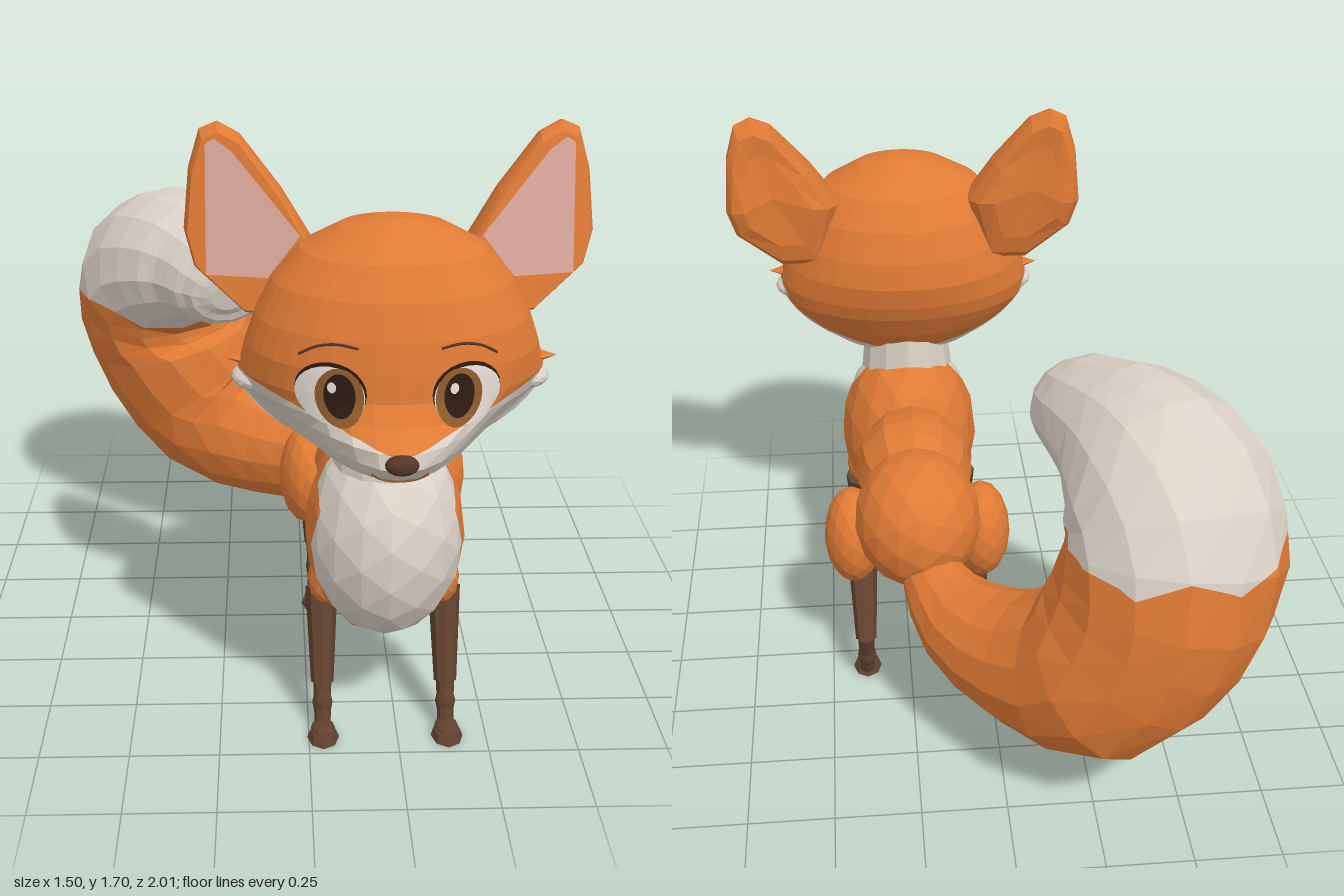
import * as THREE from 'three';

const V = (x, y, z) => new THREE.Vector3(x, y, z);
const paint = (name, color, side = THREE.FrontSide) => {
  const m = new THREE.MeshStandardMaterial({ color, side });
  m.name = name;
  return m;
};
const fur = paint('orange fur', 0xe07b36);
const cream = paint('cream fur', 0xdbd2c8);
const sock = paint('brown legs', 0x61412f);
const pink = paint('ear pink', 0xdca89c, THREE.DoubleSide);
const amber = paint('iris amber', 0x8f5c2a, THREE.DoubleSide);
const dark = paint('dark brown', 0x2c1b12, THREE.DoubleSide);
const nosePaint = paint('nose brown', 0x553629);
const eyeWhite = paint('eye white', 0xe6e0d8, THREE.DoubleSide);

// Faceted normals
function flat(geo) {
  const g = geo.index ? geo.toNonIndexed() : geo;
  g.computeVertexNormals();
  return g;
}

function fromTriangles(points) {
  const g = new THREE.BufferGeometry().setFromPoints(points);
  g.computeVertexNormals();
  return g;
}

function add(parent, name, geo, material, pos) {
  const mesh = new THREE.Mesh(geo, material);
  mesh.name = name;
  if (pos) mesh.position.set(...pos);
  parent.add(mesh);
  return mesh;
}

// Skin over rings that run counter-clockwise around the direction of travel, with closed ends
function loft(rings) {
  const out = [], n = rings[0].length;
  const centre = (r) => r.reduce((s, p) => s.add(p), V(0, 0, 0)).divideScalar(n);
  const first = rings[0], last = rings[rings.length - 1];
  const c0 = centre(first), c1 = centre(last);
  for (let j = 0; j < n; j++) {
    const k = (j + 1) % n;
    out.push(c0, first[k], first[j], c1, last[j], last[k]);
    for (let i = 0; i + 1 < rings.length; i++) {
      const a = rings[i], b = rings[i + 1];
      out.push(a[j], a[k], b[k], a[j], b[k], b[j]);
    }
  }
  return fromTriangles(out);
}

// Cut a surface in two along rule(p) = 0 and colour each side
function addSplit(parent, name, geo, rule, inside, outside) {
  const p = (geo.index ? geo.toNonIndexed() : geo).attributes.position;
  [[1, inside, 'Markings'], [-1, outside, '']].forEach(([sign, material, suffix]) => {
    const out = [];
    for (let i = 0; i < p.count; i += 3) {
      const tri = [0, 1, 2].map((k) => V(0, 0, 0).fromBufferAttribute(p, i + k));
      const val = tri.map((q) => sign * rule(q));
      const poly = [];
      tri.forEach((q, k) => {
        const m = (k + 1) % 3;
        if (val[k] >= 0) poly.push(q);
        if ((val[k] >= 0) !== (val[m] >= 0)) poly.push(q.clone().lerp(tri[m], val[k] / (val[k] - val[m])));
      });
      for (let k = 1; k + 1 < poly.length; k++) out.push(poly[0], poly[k], poly[k + 1]);
    }
    add(parent, name + suffix, fromTriangles(out), material);
  });
}

const blob = (rx, ry, rz, detail = 2) => flat(new THREE.IcosahedronGeometry(1, detail).scale(rx, ry, rz));
const wave = (t) => Math.abs(((t % 1) + 1) % 1 - 0.5) * 2;

// Tapered rod between two points
function rod(parent, name, a, b, ra, rb, material) {
  const d = b.clone().sub(a);
  const m = add(parent, name, flat(new THREE.CylinderGeometry(rb, ra, d.length(), 8)), material);
  m.position.copy(a).addScaledVector(d, 0.5);
  m.quaternion.setFromUnitVectors(V(0, 1, 0), d.normalize());
}

// Head levels: height, half width, back z, front z, sharpness of the front
const levels = [
  [0.838, 0.05, 0.54, 0.66, 1], [0.855, 0.13, 0.48, 0.75, 1.2], [0.89, 0.22, 0.43, 0.86, 2], [0.93, 0.285, 0.40, 0.945, 2.8],
  [0.97, 0.335, 0.37, 0.985, 3.4], [1.01, 0.37, 0.345, 0.975, 3.1], [1.05, 0.395, 0.32, 0.91, 2],
  [1.10, 0.40, 0.30, 0.875, 1.4], [1.17, 0.382, 0.285, 0.865, 1.1], [1.25, 0.355, 0.297, 0.85, 1],
  [1.34, 0.31, 0.33, 0.82, 1], [1.42, 0.24, 0.385, 0.77, 1], [1.475, 0.14, 0.47, 0.70, 1], [1.50, 0.04, 0.56, 0.63, 1],
];
const HEAD_Z = 0.59;
const frontZ = ([, w, , zf, p], x) => HEAD_Z + (zf - HEAD_Z) * Math.pow(Math.max(0, 1 - (x / w) ** 2), p / 2);

// Front of the face at x, y
function faceZ(x, y) {
  const i = levels.findIndex((l) => l[0] > y);
  const a = levels[i - 1], b = levels[i];
  return THREE.MathUtils.lerp(frontZ(a, x), frontZ(b, x), (y - a[0]) / (b[0] - a[0]));
}

// Thin oval laid on the face
function decal(parent, name, cx, cy, rx, ry, lift, material) {
  const g = new THREE.RingGeometry(0.001, 1, 24, 4), p = g.attributes.position;
  for (let i = 0; i < p.count; i++) {
    const x = cx + p.getX(i) * rx, y = cy + p.getY(i) * ry;
    p.setXYZ(i, x, y, faceZ(x, y) + lift);
  }
  g.computeVertexNormals();
  add(parent, name, g, material);
}

// Thin line drawn on the face
function faceLine(parent, name, pts, r, material) {
  const curve = new THREE.CatmullRomCurve3(pts.map(([x, y]) => V(x, y, faceZ(x, y) + 0.003)));
  add(parent, name, new THREE.TubeGeometry(curve, 12, r, 5), material);
}

function buildHead(body) {
  const head = new THREE.Group();
  head.name = 'head';
  body.add(head);
  const rings = levels.map((l) => Array.from({ length: 40 }, (_, j) => {
    const a = (j / 40) * Math.PI * 2, x = l[1] * Math.sin(a), c = Math.cos(a);
    return V(x, l[0], c > 0 ? frontZ(l, x) : HEAD_Z + (HEAD_Z - l[2]) * c);
  }));
  const muzzle = (p) => Math.min(1.0 + 0.25 * Math.abs(p.x) - p.y, p.z - 0.43 - 0.45 * (p.y - 0.9));
  addSplit(head, 'skull', loft(rings), muzzle, cream, fur);
  add(head, 'nose', blob(0.042, 0.027, 0.025), nosePaint, [0, 0.985, 0.976]);
  faceLine(head, 'mouth', [[-0.07, 0.94], [-0.04, 0.922], [0, 0.917], [0.04, 0.922], [0.07, 0.94]], 0.0035, amber);

  // Ear outline, set on a slanted plane
  const outline = [[0.45, 1.70], [0.39, 1.67], [0.28, 1.53], [0.2, 1.4], [0.25, 1.2], [0.38, 1.21],
    [0.515, 1.33], [0.54, 1.42], [0.525, 1.58], [0.495, 1.68]];
  const earZ = (x, y) => 0.545 - 0.2 * Math.max(0, y - 1.3) - 0.2 * (x - 0.3);
  const earRing = (s, depth) => outline.map(([x, y]) => {
    const px = 0.39 + (x - 0.39) * s, py = 1.44 + (y - 1.44) * s;
    return V(px, py, earZ(px, py) + depth * (1 - 0.4 * Math.max(0, y - 1.4) / 0.3));
  });
  const earGeo = loft([earRing(0.6, -0.165), earRing(0.85, -0.15), earRing(0.98, -0.11), earRing(1, -0.06), earRing(0.97, -0.02), earRing(0.92, 0)]);
  const inner = [[0.478, 1.65], [0.455, 1.665], [0.41, 1.635], [0.235, 1.43], [0.32, 1.32], [0.48, 1.32]];
  const innerGeo = new THREE.ShapeGeometry(new THREE.Shape(inner.map(([x, y]) => new THREE.Vector2(x, y))));
  const ip = innerGeo.attributes.position;
  for (let i = 0; i < ip.count; i++) ip.setZ(i, earZ(ip.getX(i), ip.getY(i)) + 0.006);
  innerGeo.computeVertexNormals();

  for (const s of [1, -1]) {
    const half = new THREE.Group();
    half.name = s > 0 ? 'leftFace' : 'rightFace';
    half.scale.x = s;
    head.add(half);
    add(half, 'ear', earGeo, fur);
    add(half, 'innerEar', innerGeo, pink);
    const tuft = add(half, 'cheekTuft', flat(new THREE.ConeGeometry(0.03, 0.1, 6).scale(1, 1, 2)), fur, [0.385, 1.118, 0.585]);
    tuft.rotation.z = -Math.PI / 2;
    add(half, 'cheekFluff', blob(0.065, 0.035, 0.07), cream, [0.352, 1.068, 0.585]);
    // Eye layers
    decal(half, 'eyelid', 0.168, 1.122, 0.088, 0.075, 0.004, dark);
    decal(half, 'eyeWhite', 0.17, 1.115, 0.086, 0.073, 0.008, eyeWhite);
    decal(half, 'iris', 0.147, 1.115, 0.06, 0.072, 0.012, amber);
    decal(half, 'pupil', 0.147, 1.12, 0.039, 0.055, 0.016, dark);
    decal(half, 'glint', 0.15 - s * 0.016, 1.14, 0.011, 0.014, 0.02, eyeWhite);
    faceLine(half, 'brow', [[0.1, 1.235], [0.15, 1.242], [0.2, 1.232], [0.245, 1.205]], 0.0035, nosePaint);
  }
}

function buildLegs(body) {
  for (const s of [1, -1]) {
    const side = new THREE.Group();
    side.name = s > 0 ? 'leftLegs' : 'rightLegs';
    side.scale.x = s;
    body.add(side);
    add(side, 'thigh', blob(0.09, 0.16, 0.125), fur, [0.2, 0.49, -0.03]);
    add(side, 'shoulder', blob(0.05, 0.085, 0.058, 1), fur, [0.165, 0.42, 0.505]);
    // Hip, ankle and foot positions
    [['front', V(0.175, 0.38, 0.485), V(0.175, 0.13, 0.59), V(0.175, 0.025, 0.63)],
      ['hind', V(0.175, 0.37, -0.01), V(0.175, 0.18, -0.165), V(0.175, 0.025, -0.115)]].forEach(([n, a, b, c]) => {
      rod(side, n + 'UpperLeg', a, b, 0.046, 0.032, sock);
      rod(side, n + 'LowerLeg', b.clone().lerp(c, -0.08), c, 0.026, 0.023, sock);
      add(side, n + 'Ankle', blob(0.029, 0.045, 0.029, 1), sock, [c.x, b.y * 0.5 + 0.01, (b.z + c.z) / 2]);
      add(side, n + 'Foot', flat(new THREE.CylinderGeometry(0.036, 0.045, 0.022, 8).scale(1, 1, 1.35)), sock, [c.x, 0.011, c.z + 0.04]);
      add(side, n + 'Instep', blob(0.034, 0.016, 0.045, 1), sock, [c.x, 0.022, c.z + 0.028]);
    });
  }
}

// Curled brush: x, y, z, radius along the centre line
function buildTail(group) {
  const path = [[0.19, 0.47, -0.22, 0.09], [0.1, 0.395, -0.37, 0.145], [-0.06, 0.38, -0.53, 0.2], [-0.26, 0.46, -0.675, 0.28],
    [-0.39, 0.65, -0.71, 0.297], [-0.44, 0.84, -0.69, 0.313], [-0.43, 0.97, -0.6, 0.3], [-0.37, 1.035, -0.46, 0.245],
    [-0.3, 1.05, -0.34, 0.19], [-0.25, 1.04, -0.23, 0.155], [-0.235, 1.035, -0.165, 0.11], [-0.23, 1.03, -0.145, 0.05]];
  const curve = new THREE.CatmullRomCurve3(path.map(([x, y, z]) => V(x, y, z)));
  const N = 22, rings = [];
  for (let i = 0; i <= N; i++) {
    const t = i / N, f = t * (path.length - 1), k = Math.min(Math.floor(f), path.length - 2);
    const r = THREE.MathUtils.lerp(path[k][3], path[k + 1][3], f - k);
    const c = curve.getPoint(t), dir = curve.getTangent(t);
    const u = V(0.8, 0, -0.6).addScaledVector(dir, -V(0.8, 0, -0.6).dot(dir)).normalize();
    const v = dir.clone().cross(u);
    // Flatter on the inside of the curl
    const squash = 1 - 0.2 * THREE.MathUtils.smoothstep(c.y, 0.65, 0.97);
    rings.push(Array.from({ length: 14 }, (_, j) => {
      const a = (j / 14) * Math.PI * 2, sin = Math.sin(a);
      return c.clone().addScaledVector(u, r * Math.cos(a)).addScaledVector(v, r * sin * (sin < 0 ? squash : 1));
    }));
  }
  const tip = (p) => Math.max(p.y - 0.87 - 0.08 * wave(Math.atan2(p.z + 0.7, p.x + 0.43) * 1.3),
    Math.min(p.z + 0.4, p.y - 0.83));
  addSplit(group, 'tail', loft(rings), tip, cream, fur);
}

export function createModel() {
  const model = new THREE.Group();
  model.name = 'fox';
  const body = new THREE.Group();
  body.name = 'body';
  body.position.x = 0.215;
  model.add(body);

  // Trunk
  const bib = (p) => Math.max(p.z - 0.57 - 0.04 * wave(p.y * 6), Math.min(p.y - 0.72, p.z - 0.48));
  addSplit(body, 'chest', blob(0.225, 0.305, 0.275).translate(0, 0.565, 0.485), bib, cream, fur);
  const barrel = [[0, -0.19], [0.14, -0.17], [0.175, -0.07], [0.185, 0], [0.175, 0.07], [0.14, 0.17], [0, 0.19]];
  const waist = add(body, 'waist', flat(new THREE.LatheGeometry(barrel.map(([x, y]) => new THREE.Vector2(x, y)), 12)), fur, [0, 0.615, 0.135]);
  waist.rotation.x = Math.PI / 2;
  add(body, 'hips', blob(0.195, 0.215, 0.215), fur, [0, 0.585, -0.095]);
  add(body, 'neck', flat(new THREE.CylinderGeometry(0.13, 0.148, 0.16, 12)), cream, [0, 0.87, 0.525]);

  buildHead(body);
  buildLegs(body);
  buildTail(model);
  return model;
}
